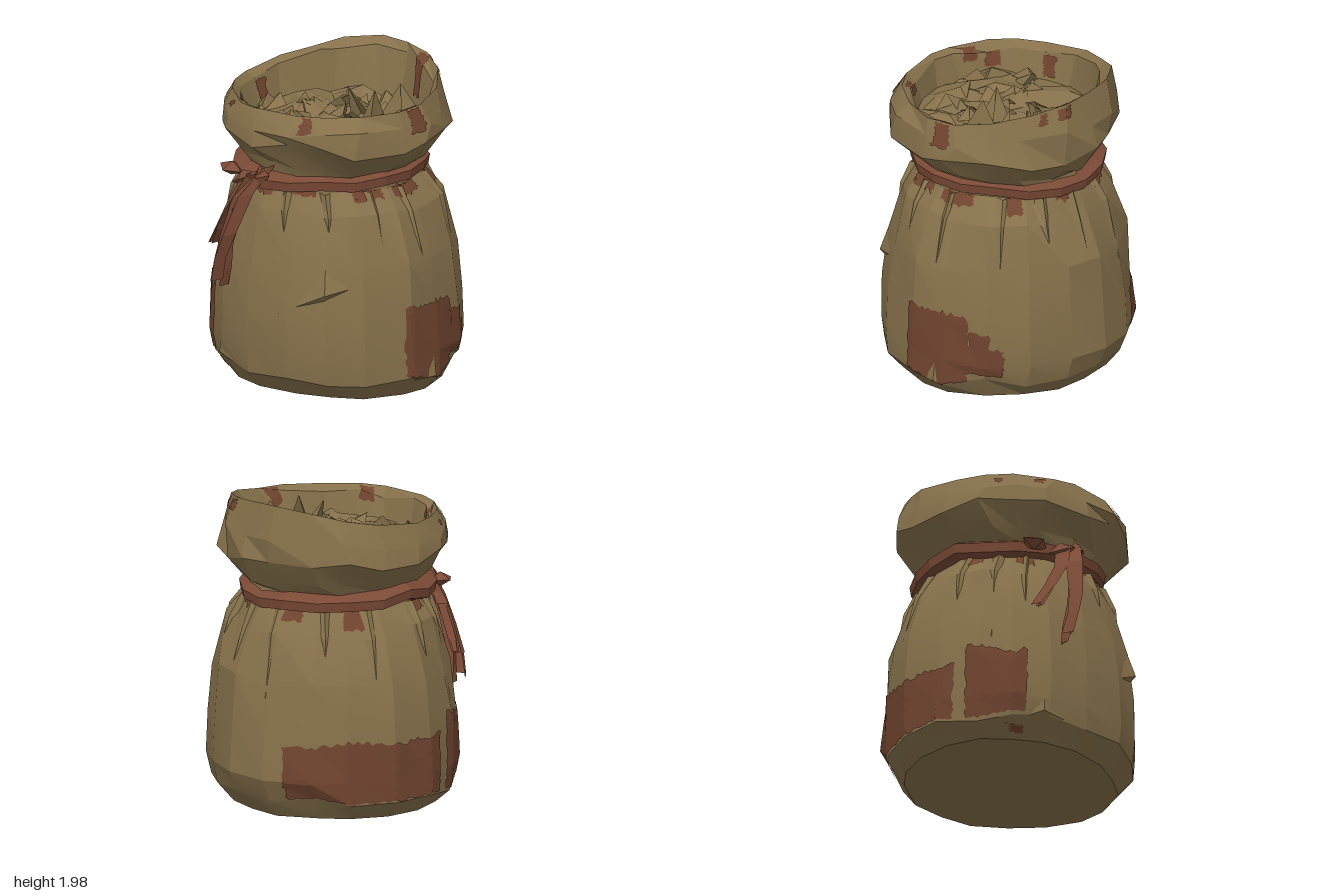
import * as THREE from 'three';
import { toCreasedNormals } from 'three/addons/utils/BufferGeometryUtils.js';

const N = 18; // columns around the sack

let seed = 11;
const rnd = () => ((seed = (seed * 16807) % 2147483647) / 2147483647);
const jit = (a) => (rnd() * 2 - 1) * a;

// Sack profile from base centre, up the outside, over the rim and down inside:
// [height, half width, front depth, back depth, radial roughness, height roughness]
const PROFILE = [
  [0.01, 0.0, 0.0, 0.0, 0, 0],
  [0.035, 0.69, 0.58, 0.66, 0.015, 0.01],
  [0.16, 0.79, 0.69, 0.755, 0.01, 0.04],
  [0.29, 0.795, 0.705, 0.815, 0.01, 0.02],
  [0.56, 0.785, 0.71, 0.79, 0.012, 0.03],
  [0.88, 0.75, 0.66, 0.765, 0.015, 0.04],
  [1.18, 0.65, 0.59, 0.675, 0.018, 0.03],
  [1.33, 0.54, 0.53, 0.58, 0.015, 0.01],
  [1.42, 0.53, 0.53, 0.57, 0.01, 0.01],
  [1.48, 0.6, 0.575, 0.63, 0.03, 0.02],
  [1.62, 0.715, 0.665, 0.72, 0.025, 0.045],
  [1.73, 0.69, 0.675, 0.72, 0.02, 0.03],
  [1.84, 0.64, 0.61, 0.675, 0.015, 0.012],
  [1.79, 0.585, 0.565, 0.625, 0.02, 0.03],
  [1.62, 0.55, 0.53, 0.56, 0.02, 0],
];
const ROWS = PROFILE.length - 1;
const colShift = Array.from({ length: N }, () => jit(0.06));

const ringPoint = (a, y, rx, zf, zb) =>
  new THREE.Vector3(rx * Math.sin(a), y, Math.cos(a) * (Math.cos(a) > 0 ? zf : zb));

// The mouth rises toward the back
const rise = (a) => 0.15 * Math.pow(Math.max(0, -Math.cos(a - 0.12)), 1.4);

const sackGrid = PROFILE.map(([y, rx, zf, zb, rough, wave], j) =>
  Array.from({ length: N }, (_, i) => {
    const a = (i / N) * Math.PI * 2 + colShift[i] + (j > 8 ? jit(0.07) : 0);
    const lift = j === 12 || j === 13 ? rise(a) : j === 11 ? rise(a) * 0.4 : 0;
    const s = 1 + jit(rough) * 1.4;
    return ringPoint(a, y + lift + jit(wave), rx * s, zf * s, zb * s);
  }));

// Point on the faceted sack at fractional column u and row v
function onSack(u, v) {
  const i = Math.floor(u), j = Math.min(Math.floor(v), ROWS - 1);
  const f = u - i, g = v - j;
  const at = (c, r) => sackGrid[r][((c % N) + N) % N];
  const p = new THREE.Vector3();
  if (f + g <= 1) {
    return p.addScaledVector(at(i, j), 1 - f - g).addScaledVector(at(i + 1, j), f).addScaledVector(at(i, j + 1), g);
  }
  return p.addScaledVector(at(i + 1, j + 1), f + g - 1).addScaledVector(at(i, j + 1), 1 - f).addScaledVector(at(i + 1, j), 1 - g);
}

// Row number for a height on the outside
function rowAt(y) {
  let j = 1;
  while (j < 11 && PROFILE[j + 1][0] < y) j++;
  return j + (y - PROFILE[j][0]) / (PROFILE[j + 1][0] - PROFILE[j][0]);
}
const colAt = (deg) => (deg / 360) * N;

// Point on the outside, pushed outward
function outside(deg, y, push) {
  const p = onSack(colAt(deg), rowAt(y));
  return p.addScaledVector(new THREE.Vector3(p.x, 0, p.z).normalize(), push);
}

// Skin a grid of points; closed joins the last column to the first
function skin(grid, closed) {
  const w = grid[0].length, pos = [];
  const put = (...pts) => pts.forEach((p) => pos.push(p.x, p.y, p.z));
  for (let j = 0; j < grid.length - 1; j++) {
    for (let i = 0; i < (closed ? w : w - 1); i++) {
      const k = (i + 1) % w;
      const a = grid[j][i], b = grid[j][k], c = grid[j + 1][i], d = grid[j + 1][k];
      put(a, b, c, b, d, c);
    }
  }
  const g = new THREE.BufferGeometry();
  g.setAttribute('position', new THREE.Float32BufferAttribute(pos, 3));
  g.computeVertexNormals();
  return g;
}

export function createModel() {
  const model = new THREE.Group();
  const material = (name, color) => {
    const m = new THREE.MeshStandardMaterial({ color, side: THREE.DoubleSide });
    m.name = name;
    return m;
  };
  const cloth = material('sackcloth', 0x86714b);
  const stain = material('russet patch', 0x70442f);
  const cord = material('russet cord', 0x7b4a36);
  const add = (name, geo, mat) => {
    const m = new THREE.Mesh(geo, mat);
    m.name = name;
    model.add(m);
    return m;
  };

  // Sack body, collar and inner wall
  add('sack', toCreasedNormals(skin(sackGrid, true), 0.28), cloth);

  // Crumpled contents: a rough square sheet rounded to fill the mouth
  const M = 10;
  const sheet = Array.from({ length: M + 1 }, (_, j) => Array.from({ length: M + 1 }, (_, i) => {
    const edge = i % M === 0 || j % M === 0, q = edge ? 0 : 0.09;
    const u = (2 * i) / M - 1 + jit(q), v = 1 - (2 * j) / M + jit(q);
    return new THREE.Vector3(0.57 * u * Math.sqrt(1 - v * v / 2), edge ? 1.63 : 1.675 + jit(0.04),
      0.56 * v * Math.sqrt(1 - u * u / 2) - 0.01);
  }));
  add('contents', skin(sheet, false), cloth);

  // Low folded scraps lying on the contents, a few standing up
  for (let k = 0; k < 30; k++) {
    const a = rnd() * 6.283, r = 0.42 * Math.sqrt(rnd()), t = rnd() * 6.283, len = 0.07 + rnd() * 0.07;
    const c = new THREE.Vector3(Math.sin(a) * r, 1.66, Math.cos(a) * r);
    const d = new THREE.Vector3(Math.cos(t), 0, Math.sin(t)), n = new THREE.Vector3(-d.z, 0, d.x);
    const peak = c.clone().addScaledVector(n, jit(0.06)).setY(k % 14 ? 1.71 + rnd() * 0.05 : 1.87);
    const left = c.clone().addScaledVector(d, -len).setY(1.66);
    const right = c.clone().addScaledVector(d, len).setY(1.67);
    const foot = c.clone().addScaledVector(n, 0.12).setY(1.65);
    add('scrap', skin([[left, right], [peak, foot]], false), cloth);
  }

  // Pleats running down from the tie: [angle, lower end, half width in degrees]
  const pleats = [[14, 1.06, 4], [40, 1.1, 5], [68, 1.02, 4], [92, 0.9, 4], [125, 0.8, 5], [150, 1.05, 5],
    [172, 0.95, 5], [198, 0.8, 6], [226, 0.55, 5], [252, 0.85, 6], [285, 1.0, 5], [306, 0.7, 6], [326, 0.95, 4]];
  for (const [deg, low, w] of pleats) {
    const row = (y, s, out) => [outside(deg - w * s, y, -0.01), outside(deg + 1, y, out), outside(deg + w * s, y, -0.01)];
    const tip = outside(deg + 1, low, 0.002);
    add('pleat', skin([[tip, tip, tip], row(1.18, 0.7, 0.02), row(1.33, 1, 0.035)], false), cloth);
  }

  // Sagging folds overhanging the cloth: [start angle, height, end angle, height, bulge]
  for (const [d0, y0, d1, y1, b] of [[15, 0.56, 52, 0.77, 0.035], [-44, 0.12, -12, 0.17, 0.02], [82, 0.14, 104, 0.14, 0.02]]) {
    const dm = d0 + (d1 - d0) * 0.65, ym = y0 + (y1 - y0) * 0.65;
    const s = outside(d0, y0, 0.003), e = outside(d1, y1, 0.003);
    add('sagFold', skin([[s, outside(dm, ym - 0.02, -0.01), e], [s, outside(dm, ym + 0.03, b), e],
      [s, outside(dm, ym + 0.28, -0.005), e]], false), cloth);
  }

  // Ragged thin patches following the cloth; inward ones lie on the inner wall
  function patch(name, d0, d1, v0, v1, rag, inward) {
    const nu = Math.max(4, Math.round((d1 - d0) / 2)), nv = 14;
    const top = Array.from({ length: nu + 1 }, () => jit(rag)), low = top.map(() => jit(rag));
    const grid = [];
    for (let j = 0; j <= nv; j++) {
      const e0 = jit(0.8), e1 = jit(0.8), row = [];
      for (let i = 0; i <= nu; i++) {
        const a = d0 + e0 + (d1 + e1 - d0 - e0) * (i / nu), t = j / nv;
        const p = onSack(colAt(a), v0 + low[i] + (v1 + top[i] - v0 - low[i]) * t);
        row.push(p.addScaledVector(new THREE.Vector3(p.x, 0, p.z).normalize(), inward ? -0.008 : 0.008));
      }
      grid.push(row);
    }
    add(name, skin(grid, false), stain);
  }
  patch('frontPatch', -66, -33, rowAt(0.18), rowAt(0.61), 0.06);
  patch('frontPatchHem', -41, -33, rowAt(0.07), rowAt(0.11), 0.06);
  patch('sidePatch', 77, 112, rowAt(0.16), rowAt(0.6), 0.06);
  patch('sidePatchEnd', 112, 122, rowAt(0.2), rowAt(0.53), 0.06);
  patch('sidePatchEnd', 121, 128, rowAt(0.22), rowAt(0.42), 0.06);
  patch('backPatch', -152, -72, rowAt(0.17), rowAt(0.52), 0.06);
  // Spots on the collar
  patch('collarSpot', 25, 32, rowAt(1.74), 11.95, 0.06);
  patch('collarSpot', 86, 96, rowAt(1.69), 11.95, 0.06);
  patch('collarSpot', -53, -48, rowAt(1.76), 11.6, 0.06);
  patch('collarSpot', -28, -24, rowAt(1.78), 11.8, 0.06);
  patch('collarSpot', 145, 149, 11.5, 11.95, 0.04);
  patch('collarSpot', 155, 163, 11.5, 11.95, 0.04);
  // Spots inside the mouth
  patch('mouthSpot', 155, 165, 12.1, 13.7, 0.06, true);
  patch('mouthSpot', 86, 97, 12.1, 13.3, 0.05, true);
  patch('mouthSpot', 28, 40, 12.2, 13.3, 0.05, true);
  patch('mouthSpot', -48, -38, 12.9, 13.5, 0.05, true);
  patch('mouthSpot', -33, -26, 12.2, 13.3, 0.05, true);
  patch('mouthSpot', -88, -78, 13.1, 13.8, 0.06, true);
  // Stain bleeding below the tie
  for (const [d0, d1, y] of [[-40, -28, 1.25], [-14, 4, 1.27], [10, 34, 1.3], [60, 76, 1.27], [84, 108, 1.27],
    [128, 138, 1.24], [160, 172, 1.29], [196, 212, 1.25], [240, 250, 1.23], [284, 296, 1.26]]) {
    patch('tieStain', d0, d1, rowAt(y), rowAt(1.34), 0.1);
  }

  // Tie around the neck
  const section = [[-0.04, 1.315], [0.035, 1.335], [0.045, 1.395], [-0.04, 1.44]];
  const wob = Array.from({ length: N }, () => [jit(0.012), jit(0.018)]);
  add('tie', skin(section.map(([r, y]) => Array.from({ length: N }, (_, i) => {
    const a = (i / N) * Math.PI * 2, s = r + wob[i][0];
    const p = ringPoint(a, y + wob[i][1] - 0.012 * Math.cos(a * 2), 0.55 + s, 0.555 + s, 0.59 + s);
    p.x -= 0.025;
    return p;
  })), true), cord);

  // Knot
  for (const [x, y, z, sx, sy, sz, rot] of [[-0.03, 1.39, 0.59, 0.07, 0.07, 0.055, 0.3],
    [-0.16, 1.36, 0.6, 0.13, 0.05, 0.05, 0.45], [-0.34, 1.37, 0.54, 0.1, 0.045, 0.08, -0.1]]) {
    const k = add('knot', new THREE.OctahedronGeometry(1, 0), cord);
    k.position.set(x, y, z);
    k.scale.set(sx, sy, sz);
    k.rotation.z = rot;
  }

  // Hanging ends: ridged ribbons through [x, y, z, half width]
  function tail(path) {
    const rows = path.map(([x, y, z, w]) => [
      new THREE.Vector3(x - w, y - w * 0.3, z - 0.03),
      new THREE.Vector3(x + w * 0.2, y, z + 0.02),
      new THREE.Vector3(x + w, y + w * 0.3, z - 0.05)]);
    add('tieEnd', skin(rows.reverse(), false), cord);
  }
  tail([[-0.02, 1.45, 0.58, 0.05], [-0.12, 1.27, 0.7, 0.08], [-0.18, 1.02, 0.77, 0.06], [-0.23, 0.86, 0.79, 0.04], [-0.27, 0.71, 0.78, 0.045]]);
  tail([[-0.14, 1.2, 0.72, 0.05], [-0.2, 0.95, 0.75, 0.035], [-0.23, 0.78, 0.73, 0.03], [-0.25, 0.67, 0.72, 0.012]]);
  tail([[-0.13, 1.4, 0.61, 0.07], [-0.21, 1.22, 0.67, 0.06], [-0.31, 1.06, 0.67, 0.045], [-0.42, 0.9, 0.65, 0.03]]);
  tail([[-0.25, 1.17, 0.66, 0.03], [-0.34, 1.0, 0.66, 0.035], [-0.39, 0.9, 0.65, 0.015]]);

  return model;
}
